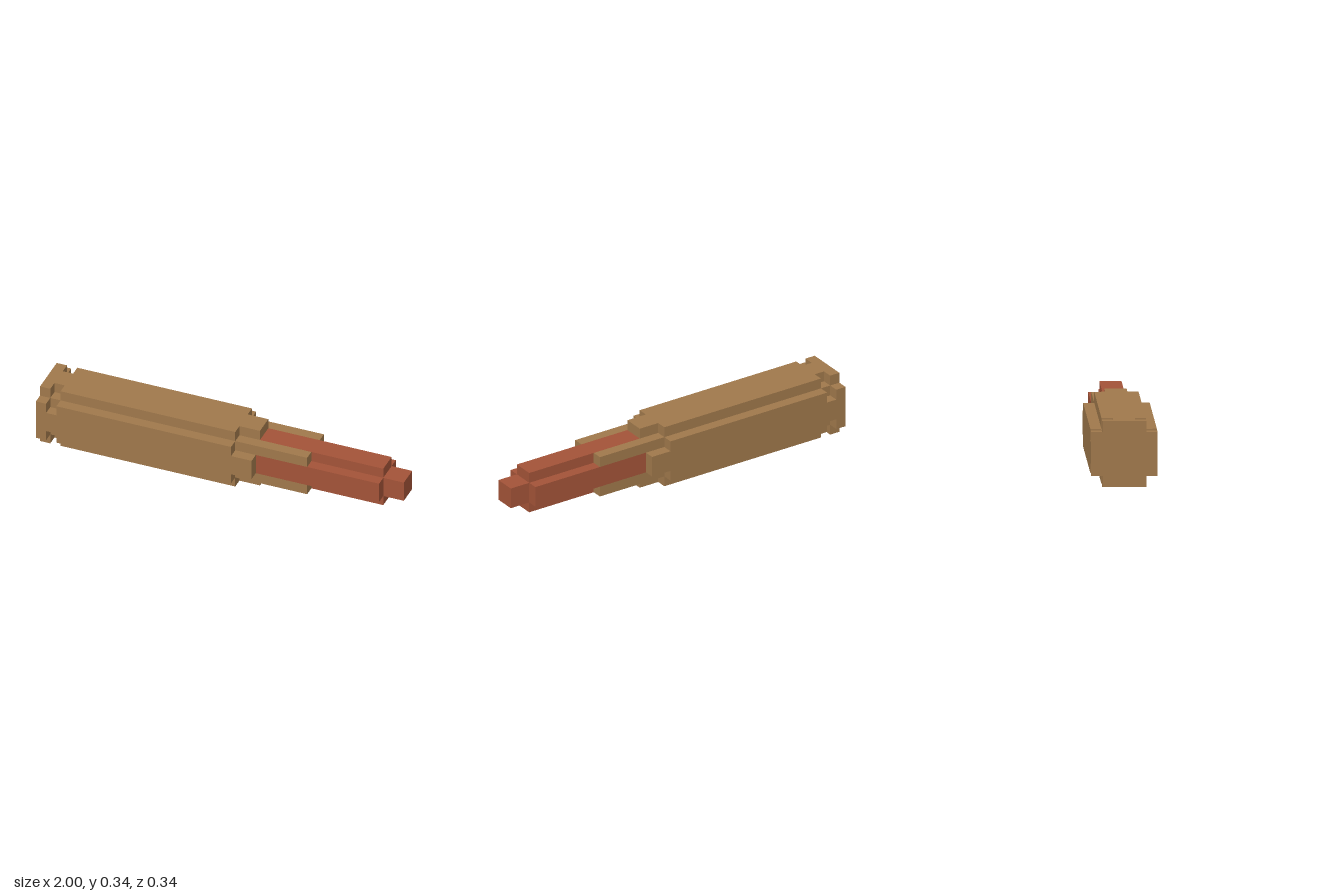
import * as THREE from 'three';

const U = 2 / 35; // grid unit of the blocky design
const CENTER_Y = 3 * U;

// Quarter outlines (in grid units), repeated four times around the axis
const FULL = [[3, 2], [2, 2], [2, 3]];
const NOTCHED = [[3, 1], [2, 1], [2, 2], [1, 2], [1, 3]];
const CROSS = [[2, 1], [1, 1], [1, 2]];
const SQUARE = [[1, 1]];

// Extrudes a four-fold symmetric section along x, from unit x0 to x1
function section(quarter, x0, x1) {
  const points = [];
  for (let turn = 0; turn < 4; turn++) {
    for (let [a, b] of quarter) {
      for (let i = 0; i < turn; i++) [a, b] = [-b, a];
      points.push(new THREE.Vector2(a * U, b * U));
    }
  }
  const geometry = new THREE.ExtrudeGeometry(new THREE.Shape(points), {
    depth: (x1 - x0) * U, bevelEnabled: false,
  });
  geometry.rotateY(Math.PI / 2);
  geometry.translate(x0 * U, CENTER_Y, 0);
  return geometry;
}

export function createModel() {
  const group = new THREE.Group();
  const brass = new THREE.MeshStandardMaterial({ color: 0x9f784b });
  brass.name = 'brass';
  const copper = new THREE.MeshStandardMaterial({ color: 0xa35338 });
  copper.name = 'copper';

  const add = (name, geometry, material) => {
    const mesh = new THREE.Mesh(geometry, material);
    mesh.name = name;
    group.add(mesh);
  };

  // Casing, from the base forward
  add('rim', section(FULL, -17.5, -16.5), brass);
  add('extractorGroove', section(NOTCHED, -16.5, -15.5), brass);
  add('caseBody', section(FULL, -15.5, 1.5), brass);
  add('shoulder', section(NOTCHED, 1.5, 3.5), brass);

  // Neck: four corner strips around the projectile
  for (const y of [-1.5, 1.5]) {
    for (const z of [-1.5, 1.5]) {
      const strip = new THREE.BoxGeometry(5 * U, U, U);
      strip.translate(6 * U, CENTER_Y + y * U, z * U);
      add('neckStrip', strip, brass);
    }
  }

  // Projectile
  add('projectile', section(CROSS, 3.5, 15.5), copper);
  add('tip', section(SQUARE, 15.5, 17.5), copper);

  return group;
}
